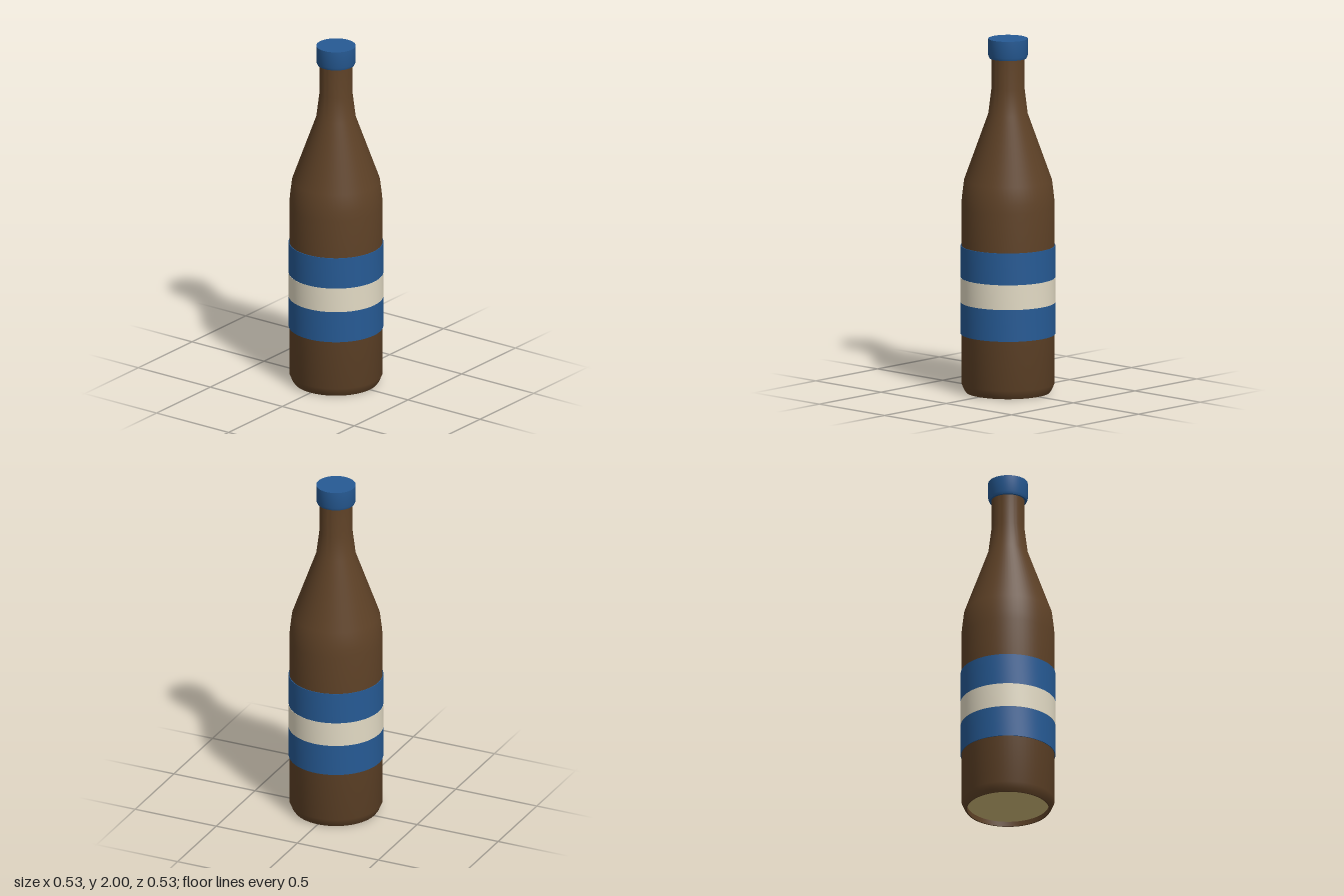
import * as THREE from 'three';
import { toCreasedNormals } from 'three/addons/utils/BufferGeometryUtils.js';

const SEGMENTS = 64;

function material(name, color) {
  const m = new THREE.MeshStandardMaterial({ color });
  m.name = name;
  return m;
}

// Profile points run from the bottom centre outward and up, so faces point out
function turned(name, profile, mat, crease = 0.6) {
  const points = profile.map(([r, y]) => new THREE.Vector2(r, y));
  const geometry = toCreasedNormals(new THREE.LatheGeometry(points, SEGMENTS), crease);
  const mesh = new THREE.Mesh(geometry, mat);
  mesh.name = name;
  return mesh;
}

// Thin closed sleeve around the body
function band(name, radius, bottom, top, mat) {
  return turned(name, [[0.258, bottom], [radius, bottom], [radius, top], [0.258, top]], mat);
}

export function createModel() {
  const glass = material('brown glass', 0x5f4227);
  const blue = material('blue', 0x265a94);
  const cream = material('cream', 0xe2dac4);
  const tan = material('pale tan', 0xd6be7c);

  const bottle = new THREE.Group();
  bottle.name = 'bottle';

  // Glass body with a recessed foot, sloping shoulder and slim neck
  bottle.add(turned('body', [
    [0.228, 0.03], [0.228, 0], [0.235, 0], [0.245, 0.015], [0.26, 0.05],
    [0.26, 1.05], [0.257, 1.1], [0.245, 1.2], [0.11, 1.575],
    [0.092, 1.72], [0.092, 1.9],
  ], glass));

  // Shallow hollow under the foot
  bottle.add(turned('base', [[0, 0.05], [0.228, 0.028]], tan));

  // Label bands
  bottle.add(band('lowerLabel', 0.264, 0.33, 0.51, blue));
  bottle.add(band('middleLabel', 0.265, 0.51, 0.65, cream));
  bottle.add(band('upperLabel', 0.264, 0.65, 0.83, blue));

  // Cap with a slightly tapered lower lip
  bottle.add(turned('cap', [
    [0.088, 1.89], [0.104, 1.89], [0.11, 1.905], [0.11, 2], [0, 2],
  ], blue));

  return bottle;
}
